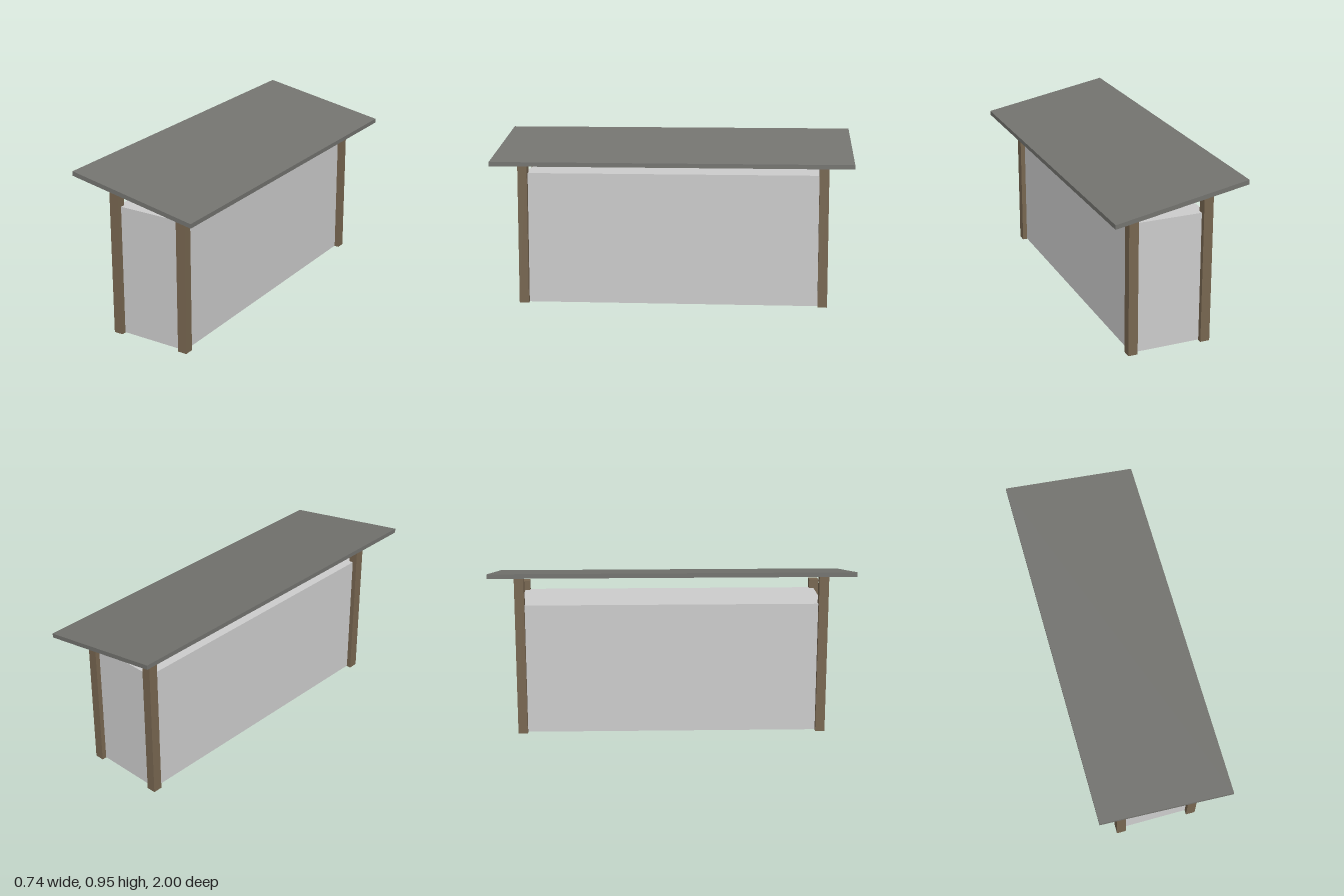
import * as THREE from 'three';

const flat = (name, color) => {
  const m = new THREE.MeshStandardMaterial({ color });
  m.name = name;
  return m;
};

export function createModel() {
  const group = new THREE.Group();
  group.name = 'shelter';
  const wood = flat('wood', 0x776650);
  const wall = flat('wall', 0xcccccc);
  const roofing = flat('roofing', 0x73736f);

  const addBox = (name, material, w, h, d, x, y, z) => {
    const mesh = new THREE.Mesh(new THREE.BoxGeometry(w, h, d), material);
    mesh.name = name;
    mesh.position.set(x, y + h / 2, z);
    group.add(mesh);
  };

  // Enclosed body, its corners reaching the post centres
  addBox('body', wall, 0.421, 0.736, 1.683, 0, 0.002, 0);

  // Corner posts, taller on the high side of the roof
  for (const [sx, height] of [[-1, 0.897], [1, 0.79]]) {
    for (const sz of [-1, 1]) {
      addBox('post', wood, 0.053, height, 0.053, sx * 0.2105, 0, sz * 0.8415);
    }
  }

  // Sloping roof slab with plumb-cut edges
  const profile = new THREE.Shape([
    [-0.368, 0.924], [0.368, 0.793], [0.368, 0.817], [-0.368, 0.949],
  ].map(([x, y]) => new THREE.Vector2(x, y)));
  const roofGeometry = new THREE.ExtrudeGeometry(profile, { depth: 2, bevelEnabled: false });
  roofGeometry.translate(0, 0, -1);
  const roof = new THREE.Mesh(roofGeometry, roofing);
  roof.name = 'roof';
  group.add(roof);

  return group;
}
